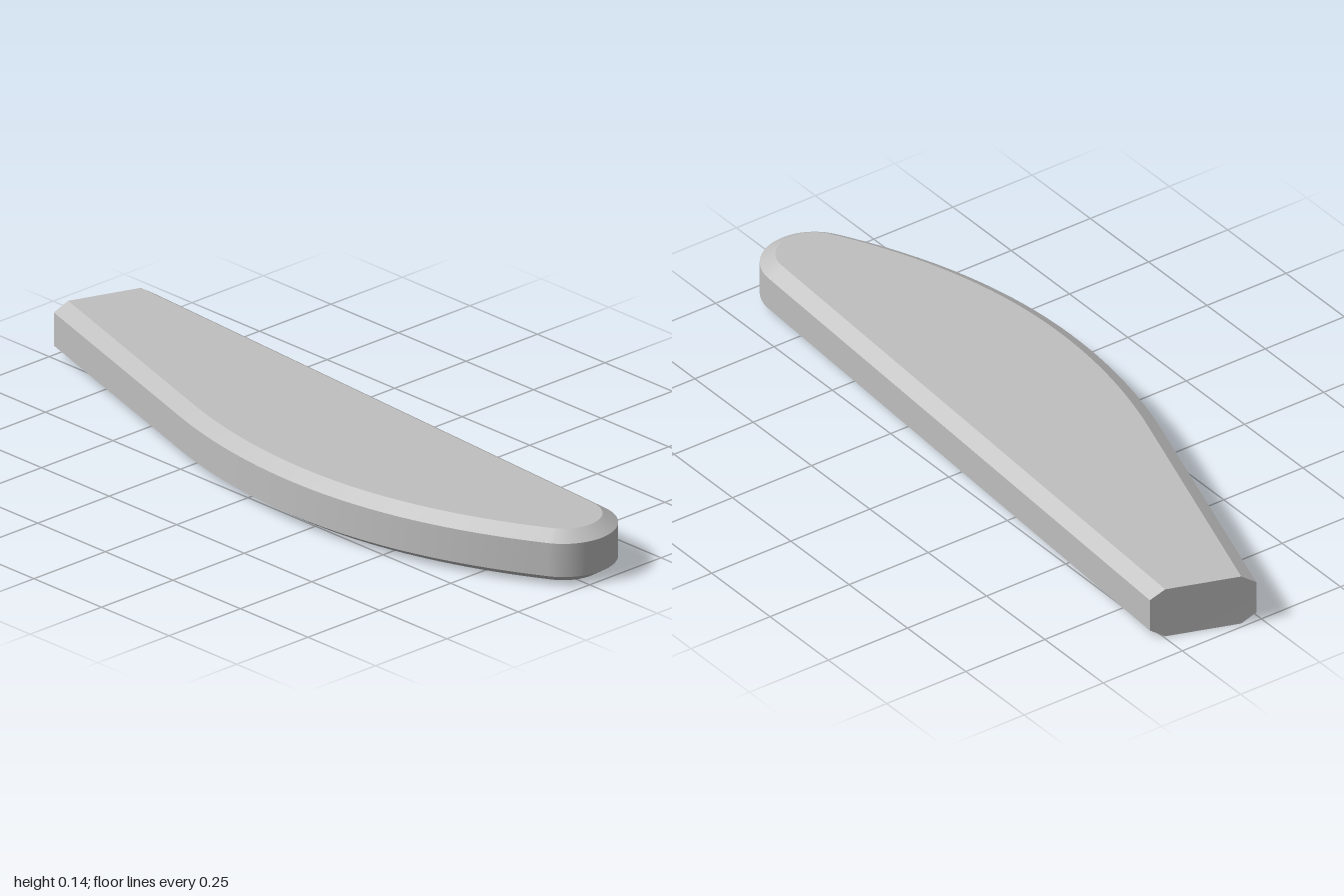
import * as THREE from 'three';

const INSET = 0.04;
const Y = [0, 0.026, 0.118, 0.143]; // base, lower chamfer, upper chamfer, top

// Plan outline as (x, z): from the back left corner, round the nose, to the back right corner
function makeOutline() {
  const path = new THREE.Path();
  path.moveTo(0.016, -1);
  path.lineTo(-0.206, -0.3);
  path.quadraticCurveTo(-0.285, -0.05, -0.285, 0.2);
  path.quadraticCurveTo(-0.285, 0.579, -0.081, 0.93);
  path.absarc(0.04, 0.86, 0.14, 2.617, 0.058, true);
  path.lineTo(0.284, -0.907);
  const points = [];
  for (const p of path.getPoints(20)) {
    if (!points.length || points[points.length - 1].distanceTo(p) > 0.003) points.push(p);
  }
  return points;
}

// Move the outline inwards, keeping both ends on the straight back cut
function insetOutline(outline) {
  const last = outline.length - 1;
  const inner = outline.map((p, i) => {
    const t = outline[Math.min(i + 1, last)].clone().sub(outline[Math.max(i - 1, 0)]).normalize();
    // Average the two neighbouring edge directions for a true mitre
    if (i > 0 && i < last) {
      const a = p.clone().sub(outline[i - 1]).normalize();
      const b = outline[i + 1].clone().sub(p).normalize();
      t.copy(a).add(b).normalize();
    }
    return new THREE.Vector2(p.x + t.y * INSET, p.y - t.x * INSET);
  });
  inner[0].set(0.054, -0.987);
  inner[last].set(0.245, -0.92);
  return inner;
}

function geometryFrom(positions, index) {
  const geometry = new THREE.BufferGeometry();
  geometry.setAttribute('position', new THREE.Float32BufferAttribute(positions, 3));
  geometry.setIndex(index);
  geometry.computeVertexNormals();
  return geometry;
}

// Smooth strip between two rings at different heights
function band(low, yLow, high, yHigh) {
  const positions = [], index = [];
  low.forEach((p, i) => {
    positions.push(p.x, yLow, p.y, high[i].x, yHigh, high[i].y);
    if (i < low.length - 1) {
      const k = i * 2;
      index.push(k, k + 2, k + 3, k, k + 3, k + 1);
    }
  });
  return geometryFrom(positions, index);
}

// Flat face over a ring, facing up or down
function cap(ring, y, up) {
  const s = up ? -1 : 1;
  const shape = new THREE.Shape(ring.map(p => new THREE.Vector2(p.x, s * p.y)));
  return new THREE.ShapeGeometry(shape).rotateX(s * Math.PI / 2).translate(0, y, 0);
}

// Flat back cut with chamfered corners
function backEnd(outer, inner) {
  const last = outer.length - 1;
  const corners = [
    [inner[last], 0], [inner[0], 0], [outer[0], 1], [outer[0], 2],
    [inner[0], 3], [inner[last], 3], [outer[last], 2], [outer[last], 1],
  ];
  const index = [];
  for (let i = 1; i < corners.length - 1; i++) index.push(0, i, i + 1);
  return geometryFrom(corners.flatMap(([p, k]) => [p.x, Y[k], p.y]), index);
}

export function createModel() {
  const grey = new THREE.MeshStandardMaterial({ color: 0xbfbfbf });
  grey.name = 'grey';
  const model = new THREE.Group();
  model.name = 'bladeHandle';
  const add = (name, geometry) => {
    const mesh = new THREE.Mesh(geometry, grey);
    mesh.name = name;
    model.add(mesh);
  };

  const outer = makeOutline();
  const inner = insetOutline(outer);
  add('lowerChamfer', band(inner, Y[0], outer, Y[1]));
  add('sideWall', band(outer, Y[1], outer, Y[2]));
  add('upperChamfer', band(outer, Y[2], inner, Y[3]));
  add('topFace', cap(inner, Y[3], true));
  add('bottomFace', cap(inner, Y[0], false));
  add('backEnd', backEnd(outer, inner));
  return model;
}
